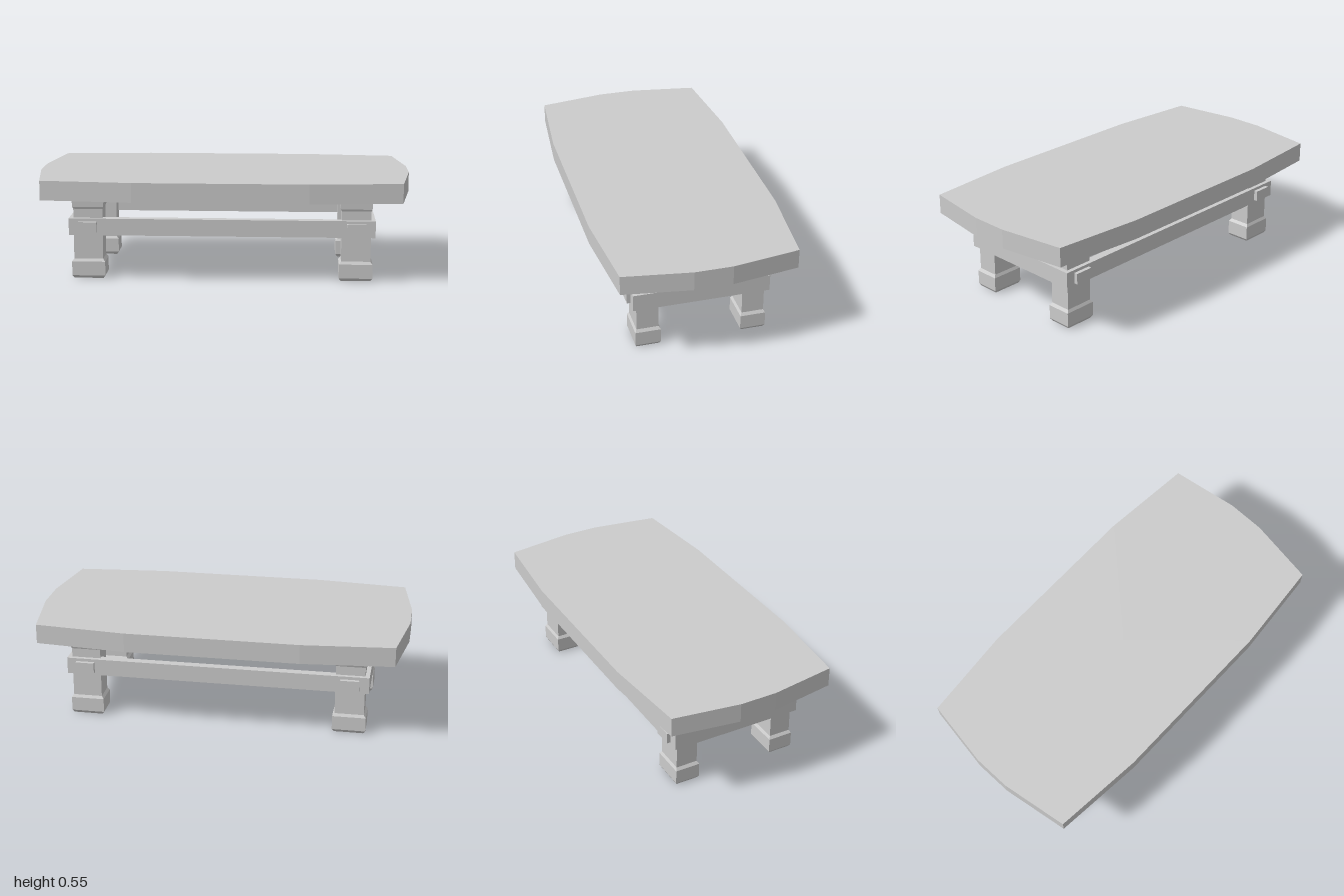
import * as THREE from 'three';

const material = new THREE.MeshStandardMaterial({ color: 0xcccccc, flatShading: true, side: THREE.DoubleSide });
const LEG_X = 0.712, LEG_Z = 0.28, CAP_X = 0.085, CAP_Z = 0.064;
const SIDES = [-1, 1];

function addMesh(parent, name, geometry, x = 0, y = 0, z = 0) {
  const mesh = new THREE.Mesh(geometry, material);
  mesh.name = name;
  mesh.position.set(x, y, z);
  parent.add(mesh);
  return mesh;
}

// Bowed slab whose underside dips to meet the four legs
function tableTopGeometry() {
  const top = 0.548, rim = 0.444, dip = 0.427;
  const pos = [];
  const quad = (a, b, c, d) => pos.push(...a, ...b, ...c, ...a, ...c, ...d);
  const rect = (x0, x1, z) => quad([x0, rim, -z], [x1, rim, -z], [x1, rim, z], [x0, rim, z]);

  // Outline, counter-clockwise from above
  const half = [[1, 0.1], [1, -0.1], [0.945, -0.457], [0.46, -0.5], [-0.46, -0.5], [-0.945, -0.457]];
  const outline = [...half, ...half.map(([x, z]) => [-x, -z])];
  outline.forEach(([x, z], i) => {
    const [u, w] = outline[(i + 1) % outline.length];
    pos.push(0, top, 0, x, top, z, u, top, w);
    quad([x, rim, z], [u, rim, w], [u, top, w], [x, top, z]);
  });

  // Flat cross-shaped middle of the underside
  rect(-0.46, 0.46, 0.5);
  rect(0.46, 1, 0.1);
  rect(-1, -0.46, 0.1);

  // Sloping ring around each leg
  const outer = [[0.46, 0.1], [0.46, 0.5], [0.945, 0.457], [1, 0.1]];
  const inner = [[-1, -1], [-1, 1], [1, 1], [1, -1]].map(([a, b]) => [LEG_X + a * CAP_X, LEG_Z + b * CAP_Z]);
  for (const sx of SIDES) for (const sz of SIDES) {
    const at = ([x, z], y) => [x * sx, y, z * sz];
    for (let i = 0; i < 4; i++) {
      const j = (i + 1) % 4;
      const corners = [at(outer[j], rim), at(outer[i], rim), at(inner[i], dip), at(inner[j], dip)];
      if (sx * sz < 0) corners.reverse();
      quad(...corners);
    }
  }

  const geometry = new THREE.BufferGeometry();
  geometry.setAttribute('position', new THREE.Float32BufferAttribute(pos, 3));
  geometry.computeVertexNormals();
  return geometry;
}

// Four-sided post with a chamfered foot and flared cap, open at both ends
function legGeometry() {
  const profile = [
    [0.059, 0], [0.067, 0.015], [0.067, 0.091], [0.0585, 0.106],
    [0.0585, 0.377], [0.0625, 0.388], [CAP_Z, 0.427],
  ].map(([r, y]) => new THREE.Vector2(r * Math.SQRT2, y));
  return new THREE.LatheGeometry(profile, 4, Math.PI / 4).scale(CAP_X / CAP_Z, 1, 1);
}

export function createModel() {
  const table = new THREE.Group();
  table.name = 'lowTable';
  addMesh(table, 'tableTop', tableTopGeometry());

  const leg = legGeometry();
  const longRail = new THREE.BoxGeometry(1.625, 0.09, 0.045);
  const endRail = new THREE.BoxGeometry(0.045, 0.09, 0.63);
  const tenon = new THREE.BoxGeometry(0.1, 0.058, 0.04);

  for (const s of SIDES) {
    // Rail frame wrapped around the legs
    addMesh(table, s > 0 ? 'frontRail' : 'backRail', longRail, 0, 0.284, s * 0.3375);
    addMesh(table, s > 0 ? 'leftRail' : 'rightRail', endRail, s * 0.79, 0.284, 0);
    for (const sz of SIDES) {
      const corner = (sz > 0 ? 'front' : 'back') + (s > 0 ? 'Left' : 'Right');
      addMesh(table, corner + 'Leg', leg, s * LEG_X, 0, sz * LEG_Z);
      addMesh(table, corner + 'Tenon', tenon, s * LEG_X, 0.284, sz * 0.36);
    }
  }
  return table;
}
